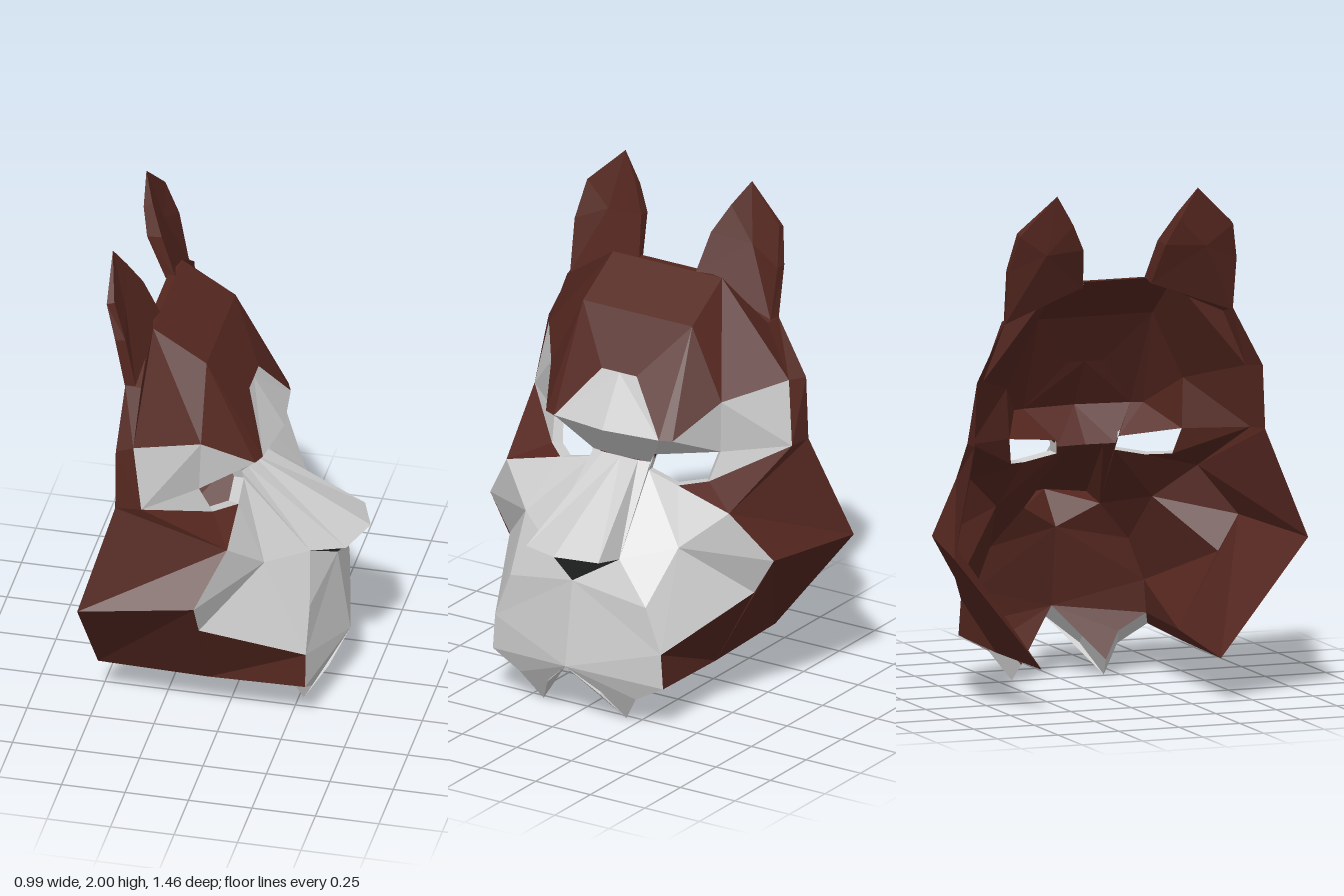
import * as THREE from 'three';

const BROWN = 0x54261f, GREY = 0xcccccc, BLACK = 0x333535;

// Corners of the left half (+z); the mask faces +x
const P = {
  // crown and forehead
  topC: [-0.31, 1.64, 0], top: [-0.31, 1.64, 0.25], foreC: [-0.1, 1.51, 0], fore: [-0.1, 1.51, 0.25],
  patchC: [0.03, 1.31, 0], patch: [0.03, 1.31, 0.08],
  browC: [0.15, 1.11, 0], brow: [0.12, 1.11, 0.24], browOut: [0.1, 1.11, 0.29],
  temple: [-0.09, 1.23, 0.39], side: [-0.32, 1.28, 0.55], shoulder: [-0.31, 1.5, 0.46],
  // back rim
  rimC: [-0.34, 1.64, 0], rimTop: [-0.34, 1.64, 0.13], rim1: [-0.37, 1.51, 0.47],
  rim2: [-0.38, 1.28, 0.59], rim3: [-0.38, 1.03, 0.6], flare: [-0.5, 0.62, 0.73],
  // eye opening
  eyeOut: [-0.1, 1.02, 0.38], eyeTop: [0, 0.99, 0.14], eyeLowOut: [-0.05, 0.91, 0.36],
  eyeLow: [0.03, 0.9, 0.27], eyeCorner: [0.02, 0.93, 0.13], band: [-0.28, 1.03, 0.59],
  // nose
  bridgeC: [0.02, 0.96, 0], bridge: [0.02, 0.96, 0.08], bridgeOut: [0.01, 0.96, 0.13],
  tipC: [0.49, 0.7, 0], tip: [0.43, 0.69, 0.165], noseBase: [0.29, 0.66, 0.17], noseLowC: [0.36, 0.56, 0],
  // cheek, muzzle and jaw
  cheek: [0.04, 0.84, 0.51], cheekOut: [-0.06, 0.64, 0.65], cheekLow: [-0.06, 0.49, 0.56],
  ridge: [0.15, 0.7, 0.35], muzzle: [0.32, 0.5, 0.31], jaw: [0.32, 0.32, 0.38], jawLow: [0.32, 0.18, 0.39],
  jawMid: [-0.06, 0.17, 0.385], jawBack: [-0.5, 0.17, 0.37],
  chinC: [0.41, 0.22, 0], fangIn: [0.35, 0.11, 0.12], fangTip: [0.27, 0, 0.19], fangOut: [0.32, 0.11, 0.265],
  // ear, front and back outlines
  earTip: [-0.46, 2, 0.29], earA: [-0.42, 1.9, 0.22], earB: [-0.37, 1.79, 0.16], earC: [-0.31, 1.64, 0.13],
  earD: [-0.33, 1.5, 0.46], earE: [-0.37, 1.71, 0.465], earF: [-0.42, 1.86, 0.44], earFold: [-0.4, 1.77, 0.33],
  backA: [-0.455, 1.88, 0.22], backB: [-0.43, 1.78, 0.17], backC: [-0.35, 1.62, 0.14],
  backD: [-0.37, 1.5, 0.47], backE: [-0.41, 1.71, 0.47], backF: [-0.45, 1.85, 0.44], backFold: [-0.45, 1.77, 0.33],
};

// Inner corners: drawn inwards, tapering to nothing at the back rim
const CENTER = [-0.5, 0.85, 0];
for (const [name, p] of Object.entries(P)) {
  const k = 0.08 * THREE.MathUtils.clamp((p[0] + 0.38) / 0.35, 0, 1);
  P[name + 'Inner'] = p.map((v, i) => v + (CENTER[i] - v) * k);
}

// Flat-shaded half from polygons, each turned away from the inside, plus its mirror
function facets(polys) {
  const out = [], ref = new THREE.Vector3(-0.4, 0.85, 0);
  for (const names of polys) {
    const v = names.split(' ').map(n => new THREE.Vector3(...P[n]));
    const normal = new THREE.Vector3(), mid = new THREE.Vector3();
    v.forEach((a, i) => {
      normal.add(new THREE.Vector3().crossVectors(a, v[(i + 1) % v.length]));
      mid.addScaledVector(a, 1 / v.length);
    });
    if (normal.dot(mid.sub(ref)) < 0) v.reverse();
    for (let i = 1; i < v.length - 1; i++) {
      const tri = [v[0], v[i], v[i + 1]];
      tri.forEach(p => out.push(p.x, p.y, p.z));
      tri.reverse().forEach(p => out.push(p.x, p.y, -p.z));
    }
  }
  const g = new THREE.BufferGeometry();
  g.setAttribute('position', new THREE.Float32BufferAttribute(out, 3));
  g.computeVertexNormals();
  return g;
}

// Quads between two matching rows of corners
const strip = (a, b) => a.slice(1).map((n, i) => `${a[i]} ${n} ${b[i + 1]} ${b[i]}`);
const innerOf = names => names.map(n => n + 'Inner');

export function createModel() {
  const group = new THREE.Group();
  const add = (name, polys, color, side = THREE.DoubleSide) => {
    const mesh = new THREE.Mesh(facets(polys),
      new THREE.MeshStandardMaterial({ color, side, flatShading: true }));
    mesh.name = name;
    group.add(mesh);
  };

  // Outer skin with a brown lining set behind it
  const shell = (name, color, polys) => {
    add(name, polys, color);
    add(name + 'Lining', polys.map(p => innerOf(p.split(' ')).join(' ')), BROWN);
  };

  shell('forehead', BROWN, [
    'topC top fore foreC', 'foreC fore patch patchC', 'fore temple browOut brow patch',
    'fore temple side top', 'top side shoulder',
  ]);
  shell('backRim', BROWN, [
    'topC top rimTop rimC', 'top shoulder rim1 rimTop', 'shoulder side rim2 rim1', 'side band rim3 rim2',
  ]);
  shell('brow', GREY, [
    'patchC patch brow browC', 'browC brow bridgeOut bridgeC', 'brow browOut eyeTop bridgeOut',
    'browOut eyeOut eyeTop',
  ]);
  shell('eyeBand', GREY, ['side temple eyeOut band', 'temple browOut eyeOut', 'band eyeOut eyeLowOut']);
  shell('cheek', BROWN, [
    'rim3 cheek cheekOut flare', 'rim3 band eyeLowOut cheek', 'eyeLowOut eyeLow cheek',
  ]);
  shell('jaw', BROWN, ['flare cheekOut jawMid jawBack', 'cheekOut cheekLow jawMid', 'cheekLow jaw jawLow jawMid']);
  shell('muzzle', GREY, [
    'bridgeOut eyeTop eyeCorner', 'bridgeOut eyeCorner noseBase', 'eyeCorner eyeLow ridge noseBase',
    'eyeLow cheek ridge', 'noseBase ridge muzzle noseLowC', 'noseLowC muzzle jaw chinC',
    'cheek cheekOut ridge', 'cheekOut cheekLow ridge', 'ridge cheekLow jaw muzzle',
  ]);
  shell('chinFangs', GREY, ['chinC jaw jawLow fangOut', 'chinC fangOut fangTip fangIn']);
  shell('noseBridge', GREY, ['bridgeC bridge tip tipC', 'bridge bridgeOut noseBase tip']);
  shell('noseTip', BLACK, ['tipC tip noseBase noseLowC']);

  // Thickness along the open edges
  const wall = (name, color, names) => add(name, strip(names, innerOf(names)), color);
  wall('eyeEdge', GREY, ['eyeCorner', 'eyeTop', 'eyeOut', 'eyeLowOut', 'eyeLow', 'eyeCorner']);
  wall('chinEdge', GREY, ['chinC', 'fangIn', 'fangTip', 'fangOut', 'jawLow']);
  wall('jawEdge', BROWN, ['jawLow', 'jawMid', 'jawBack']);

  // Ears: folded slabs
  const front = ['earTip', 'earA', 'earB', 'earC', 'earD', 'earE', 'earF', 'earTip'];
  const back = front.map(n => n === 'earTip' ? n : n.replace('ear', 'back'));
  const fan = (row, hub) => row.slice(1).map((n, i) => `${row[i]} ${n} ${hub}`);
  add('earFronts', fan(front, 'earFold'), BROWN);
  add('earBacks', fan(back, 'backFold'), BROWN);
  add('earEdges', strip(front, back), BROWN);

  return group;
}
